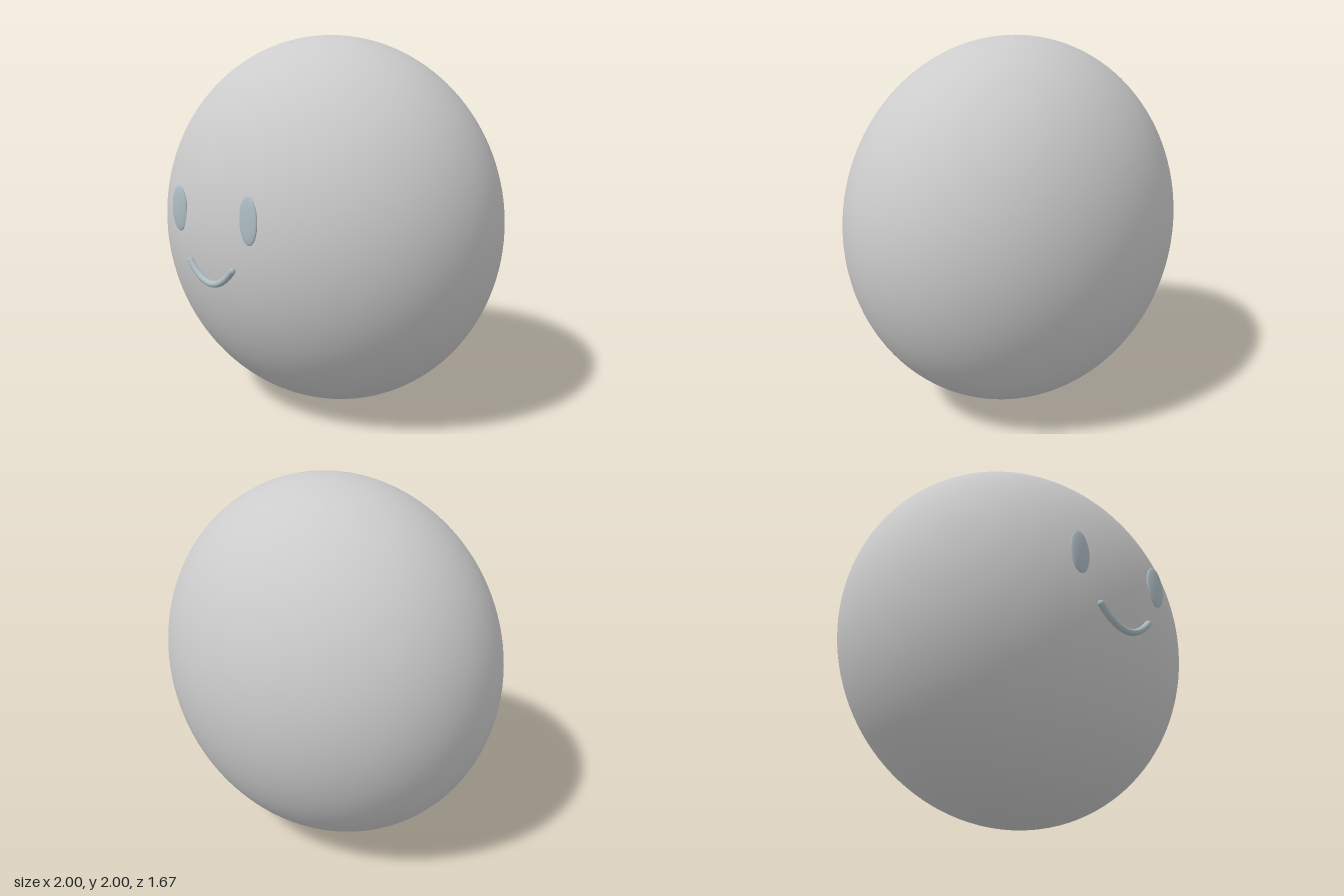
import * as THREE from 'three';

export function createModel() {
  const group = new THREE.Group();
  const bodyMat = new THREE.MeshStandardMaterial({ color: 0xcccccc });
  const faceMat = new THREE.MeshStandardMaterial({ color: 0xaebdc3 });

  // A sphere stretched into an ellipsoid
  function ellipsoid(name, material, radii, position, segments) {
    const geometry = new THREE.SphereGeometry(1, segments, segments / 2);
    geometry.scale(...radii);
    const mesh = new THREE.Mesh(geometry, material);
    mesh.name = name;
    mesh.position.set(...position);
    group.add(mesh);
  }

  // Body: round from the front, flattened in depth
  ellipsoid('body', bodyMat, [1, 1, 0.83], [0, 1, -0.005], 128);

  // Eyes: thin upright ovals
  for (const [name, side] of [['leftEye', 1], ['rightEye', -1]]) {
    ellipsoid(name, faceMat, [0.06, 0.115, 0.014], [side * 0.265, 1.125, 0.8], 48);
  }

  // Mouth: curved tube with rounded ends
  const r = 0.0165, z = 0.818;
  const smile = new THREE.QuadraticBezierCurve3(
    new THREE.Vector3(-0.163, 0.877, z),
    new THREE.Vector3(0, 0.697, z),
    new THREE.Vector3(0.163, 0.877, z)
  );
  const mouth = new THREE.Mesh(new THREE.TubeGeometry(smile, 40, r, 16), faceMat);
  mouth.name = 'mouth';
  group.add(mouth);
  ellipsoid('leftMouthEnd', faceMat, [r, r, r], [0.163, 0.877, z], 16);
  ellipsoid('rightMouthEnd', faceMat, [r, r, r], [-0.163, 0.877, z], 16);

  return group;
}
